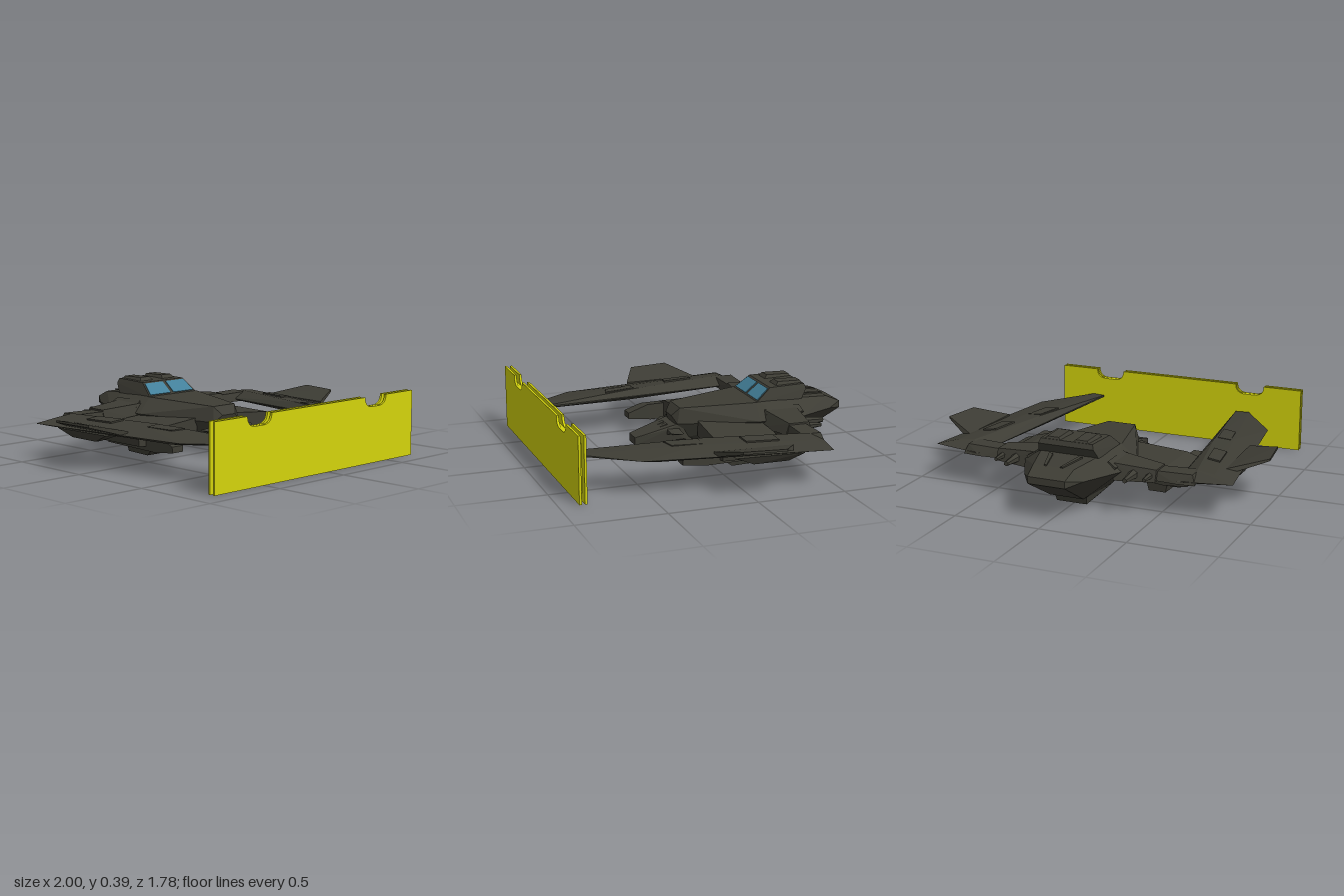
import * as THREE from 'three';
import { ConvexGeometry } from 'three/addons/geometries/ConvexGeometry.js';

const material = (name, color) => Object.assign(new THREE.MeshStandardMaterial({ color }), { name });

export function createModel() {
  const model = new THREE.Group();
  const grey = material('dark grey armour', 0x3d3c34);
  const blue = material('blue glass', 0x43809a);
  const yellow = material('yellow barrier', 0xd4d40c);

  const ship = new THREE.Group();
  ship.name = 'ship';
  ship.rotation.y = -0.012;
  ship.position.x = -0.003;
  model.add(ship);

  const add = (name, geometry, mat = grey, parent = ship) => {
    const mesh = new THREE.Mesh(geometry, mat);
    mesh.name = name;
    parent.add(mesh);
    return mesh;
  };
  // Faceted solid around corner points, optionally flipped to one side
  const solid = (name, points, mat = grey, s = 1) =>
    add(name, new ConvexGeometry(points.map(([x, y, z]) => new THREE.Vector3(x * s, y, z))), mat);
  // Solid spanning the centre line: each corner is mirrored
  const centred = (name, points) =>
    solid(name, points.flatMap(([x, y, z]) => [[x, y, z], [-x, y, z]]));
  // Thin raised plate on a slanted surface
  const plate = (name, corners, t, mat, s) => {
    const [a, b, c] = corners.map((p) => new THREE.Vector3(...p));
    const n = b.clone().sub(a).cross(c.clone().sub(a)).normalize().multiplyScalar(t);
    if (n.y < 0) n.negate();
    const lift = corners.map(([x, y, z]) => [x + n.x, y + n.y, z + n.z]);
    const drop = corners.map(([x, y, z]) => [x - n.x * 0.5, y - n.y * 0.5, z - n.z * 0.5]);
    return solid(name, [...lift, ...drop], mat, s);
  };

  // Central body
  centred('mainHull', [
    [0.11, 0.24, -0.89], [0.11, 0.2, -0.89], [0.12, 0.28, -0.8], [0.175, 0.22, -0.8],
    [0.17, 0.3, -0.6], [0.29, 0.22, -0.57], [0.19, 0.3, -0.33], [0.28, 0.21, -0.32],
    [0.085, 0.28, 0.1], [0.1, 0.19, 0.12], [0.05, 0.23, 0.14],
    [0.1, 0.06, -0.64], [0.13, 0.06, -0.33], [0.06, 0.09, 0.1],
  ]);
  centred('nose', [
    [0.1, 0.2, 0.08], [0.1, 0.1, 0.08], [0.095, 0.165, 0.16], [0.06, 0.14, 0.26],
    [0.055, 0.12, 0.36], [0.055, 0.075, 0.36], [0.06, 0.07, 0.24], [0.07, 0.07, 0.0],
  ]);
  centred('belly', [
    [0.13, 0.15, -0.32], [0.12, 0.05, -0.32], [0.09, 0.015, -0.43], [0.09, 0.01, -0.58],
    [0.1, 0.07, -0.6], [0.13, 0.15, -0.6],
  ]);
  centred('chinTurret', [
    [0.045, 0.08, 0.26], [0.03, 0.02, 0.23], [0.03, 0.02, 0.14], [0.045, 0.08, 0.12],
  ]);

  // Cabin with a slanted windscreen
  centred('cabin', [
    [0.185, 0.295, -0.33], [0.16, 0.372, -0.425], [0.155, 0.378, -0.64],
    [0.18, 0.295, -0.615], [0.165, 0.35, -0.65],
  ]);

  for (const s of [1, -1]) {
    plate('window', [[0.012, 0.306, -0.343], [0.17, 0.306, -0.343], [0.152, 0.364, -0.415], [0.012, 0.364, -0.415]], 0.004, blue, s);
    solid('roofPod', [
      [0.035, 0.37, -0.47], [0.135, 0.37, -0.47], [0.035, 0.37, -0.64], [0.135, 0.37, -0.64],
      [0.05, 0.393, -0.49], [0.12, 0.393, -0.49], [0.05, 0.39, -0.63], [0.12, 0.39, -0.63],
    ], grey, s);
    plate('rearStrip', [[0.04, 0.281, -0.8], [0.055, 0.281, -0.8], [0.1, 0.298, -0.65], [0.075, 0.298, -0.65]], 0.006, grey, s);
    plate('sidePanel', [[0.215, 0.268, -0.58], [0.265, 0.238, -0.59], [0.262, 0.236, -0.36], [0.215, 0.272, -0.38]], 0.009, grey, s);

    // Nose details
    plate('noseHatch', [[0.012, 0.173, 0.16], [0.045, 0.173, 0.16], [0.04, 0.158, 0.2], [0.012, 0.158, 0.2]], 0.009, grey, s);
    solid('noseWinglet', [
      [0.08, 0.165, 0.11], [0.08, 0.165, 0.18], [0.08, 0.13, 0.11], [0.08, 0.13, 0.18],
      [0.2, 0.16, 0.115], [0.195, 0.155, 0.13], [0.15, 0.15, 0.17], [0.15, 0.14, 0.13],
    ], grey, s);
    const barrel = add('gunBarrel', new THREE.CylinderGeometry(0.005, 0.005, 0.25, 6));
    barrel.rotation.x = Math.PI / 2;
    barrel.position.set(0.022 * s, 0.018, 0.235);

    // Lower shoulder, its intake and the side pod
    solid('shoulder', [
      [0.15, 0.21, -0.33], [0.13, 0.21, 0.01], [0.15, 0.12, -0.33], [0.13, 0.12, 0.01],
      [0.44, 0.19, -0.34], [0.44, 0.185, 0.02], [0.59, 0.14, -0.33], [0.585, 0.14, 0.025],
      [0.44, 0.09, -0.33], [0.44, 0.085, 0.02], [0.58, 0.1, -0.33], [0.58, 0.1, 0.025],
    ], grey, s);
    solid('shoulderKeel', [
      [0.3, 0.11, 0.02], [0.44, 0.1, 0.02], [0.3, 0.11, -0.26], [0.44, 0.1, -0.26],
      [0.32, 0.015, -0.09], [0.42, 0.015, -0.09], [0.32, 0.02, -0.25], [0.42, 0.02, -0.25],
    ], grey, s);
    solid('sidePod', [
      [0.445, 0.175, -0.3], [0.53, 0.165, -0.3], [0.445, 0.08, -0.3], [0.53, 0.08, -0.3],
      [0.445, 0.165, 0.12], [0.53, 0.155, 0.14], [0.45, 0.12, 0.24], [0.53, 0.12, 0.24],
      [0.445, 0.07, 0.1], [0.53, 0.07, 0.1], [0.45, 0.085, 0.24], [0.53, 0.085, 0.24],
    ], grey, s);

    // Arm out to the wing
    solid('wingArm', [
      [0.22, 0.265, -0.56], [0.22, 0.265, -0.36], [0.25, 0.17, -0.58], [0.25, 0.17, -0.33],
      [0.48, 0.245, -0.53], [0.48, 0.245, -0.41], [0.48, 0.18, -0.55], [0.48, 0.18, -0.39],
    ], grey, s);
    solid('wingJoint', [
      [0.46, 0.235, -0.51], [0.46, 0.235, -0.41], [0.46, 0.185, -0.53], [0.46, 0.185, -0.4],
      [0.68, 0.24, -0.51], [0.68, 0.24, -0.4], [0.6, 0.185, -0.54], [0.7, 0.185, -0.53], [0.68, 0.185, -0.385],
    ], grey, s);
    for (const [x, z, r] of [[0.355, -0.6, 0.03], [0.445, -0.55, 0.024]]) {
      const spike = add('rearSpike', new THREE.CylinderGeometry(r * 0.45, r, 0.14, 6).toNonIndexed());
      spike.geometry.computeVertexNormals();
      spike.rotation.x = -Math.PI / 2;
      spike.position.set(x * s, 0.21, z);
    }

    // Long forward-swept wing, its raised outer fin, keel and panels
    solid('wing', [
      [0.6, 0.2, -0.54], [0.9, 0.205, -0.49], [0.65, 0.205, -0.38], [0.84, 0.205, -0.1],
      [0.75, 0.205, 0.54], [0.525, 0.2, 0.838], [0.445, 0.2, 0.825], [0.525, 0.21, 0.838], [0.445, 0.21, 0.825],
      [0.68, 0.245, -0.44], [0.78, 0.235, -0.44], [0.56, 0.242, 0.15], [0.66, 0.235, 0.2],
      [0.66, 0.18, -0.48], [0.82, 0.185, -0.45], [0.55, 0.178, 0.2], [0.72, 0.185, 0.45],
    ], grey, s);
    solid('outerFin', [
      [0.79, 0.225, -0.3], [0.77, 0.225, 0.15], [0.79, 0.195, -0.3], [0.77, 0.195, 0.15],
      [0.86, 0.215, -0.27], [1, 0.272, -0.175], [1, 0.26, -0.175], [0.966, 0.27, 0.06], [0.966, 0.255, 0.06],
    ], grey, s);
    solid('wingKeel', [
      [0.74, 0.19, -0.34], [0.86, 0.195, -0.34], [0.73, 0.19, 0.05], [0.84, 0.195, 0.05],
      [0.785, 0.147, -0.26], [0.82, 0.147, -0.26], [0.785, 0.147, -0.06], [0.82, 0.147, -0.06],
    ], grey, s);
    plate('wingPanel', [[0.66, 0.246, -0.23], [0.735, 0.238, -0.24], [0.71, 0.238, -0.06], [0.63, 0.246, -0.05]], 0.006, grey, s);
    plate('wingPanel', [[0.57, 0.238, 0.17], [0.65, 0.232, 0.17], [0.62, 0.23, 0.335], [0.54, 0.234, 0.355]], 0.006, grey, s);
  }

  // Barrier: two notched sheets around a smaller core
  const sheet = new THREE.Shape();
  sheet.moveTo(-0.86, 0);
  sheet.lineTo(0.72, 0);
  sheet.lineTo(0.72, 0.375);
  for (const [right, left] of [[0.485, 0.305], [-0.445, -0.625]]) {
    sheet.lineTo(right, 0.375);
    sheet.bezierCurveTo(right, 0.335, right - 0.025, 0.318, right - 0.06, 0.318);
    sheet.lineTo(left + 0.06, 0.318);
    sheet.bezierCurveTo(left + 0.025, 0.318, left, 0.335, left, 0.375);
  }
  sheet.lineTo(-0.86, 0.375);
  for (const z of [0.846, 0.877]) {
    const geometry = new THREE.ExtrudeGeometry(sheet, { depth: 0.013, bevelEnabled: false, curveSegments: 8 });
    add('barrierSheet', geometry, yellow, model).position.z = z;
  }
  add('barrierCore', new THREE.BoxGeometry(1.48, 0.27, 0.02), yellow, model).position.set(-0.07, 0.182, 0.868);

  return model;
}
